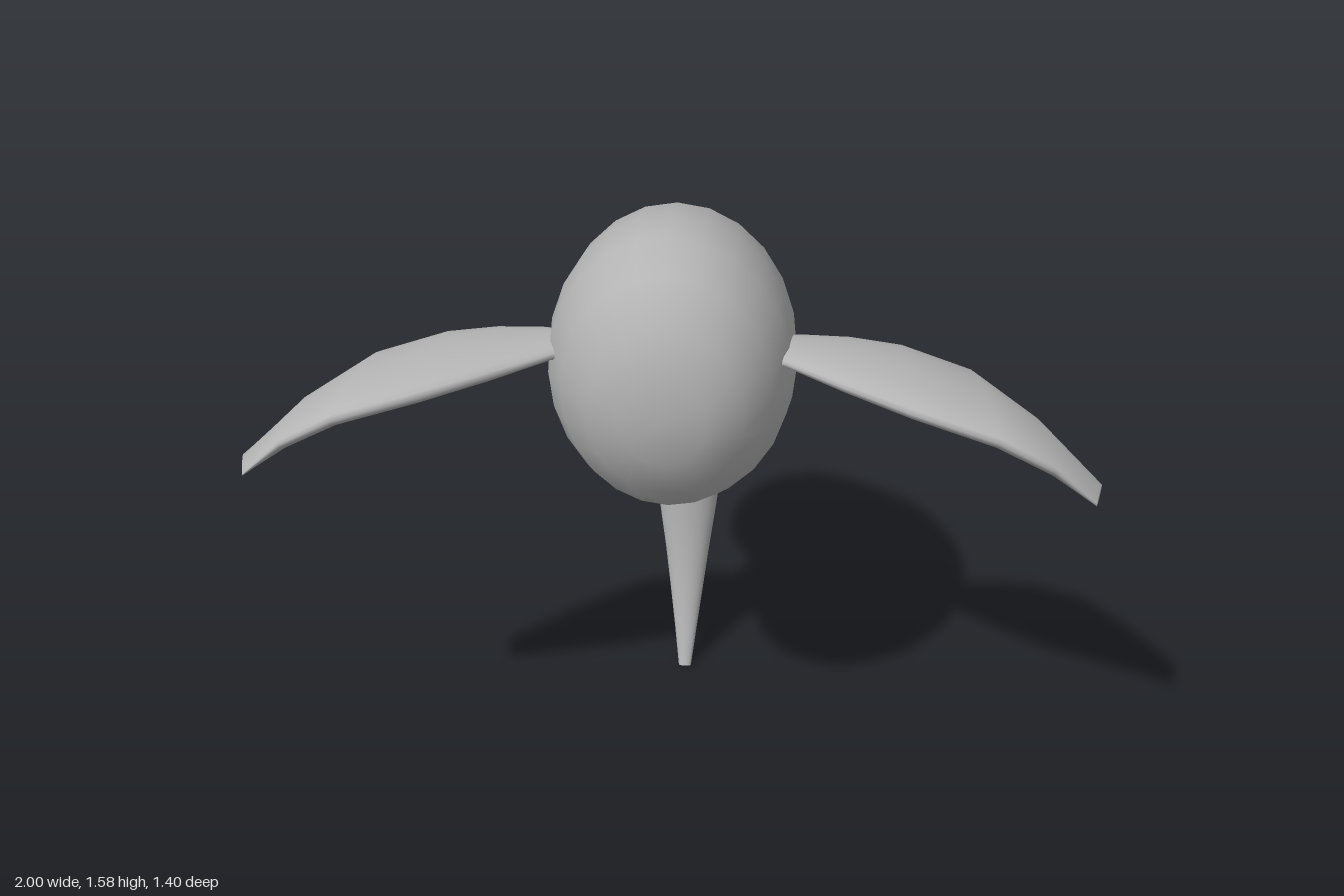
import * as THREE from 'three';

const SIDES = 24;

// Skins elliptical rings [a, b, w]: a and b are opposite ends of one axis, w is the other half axis.
// Rounded ends share their normals with the skin; flat ends get their own rim.
function loft(rings, startPole, endPole, flat) {
  const pos = [], index = [];
  const addRing = ([a, b, w]) => {
    const first = pos.length / 3;
    for (let j = 0; j < SIDES; j++) {
      const t = (j / SIDES) * Math.PI * 2, c = Math.cos(t), s = Math.sin(t);
      for (let k = 0; k < 3; k++) pos.push((a[k] + b[k]) / 2 + (c * (a[k] - b[k])) / 2 + s * w[k]);
    }
    return first;
  };
  const starts = rings.map(addRing);
  for (let i = 0; i < starts.length - 1; i++) {
    for (let j = 0; j < SIDES; j++) {
      const n = (j + 1) % SIDES, p = starts[i], q = starts[i + 1];
      index.push(p + j, p + n, q + j, p + n, q + n, q + j);
    }
  }
  const addCap = (i, pole, isStart) => {
    const rim = flat ? addRing(rings[i]) : starts[i];
    const centre = pos.length / 3;
    pos.push(...pole);
    for (let j = 0; j < SIDES; j++) {
      const n = (j + 1) % SIDES;
      if (isStart) index.push(centre, rim + n, rim + j);
      else index.push(centre, rim + j, rim + n);
    }
  };
  addCap(0, startPole, true);
  addCap(rings.length - 1, endPole, false);
  const g = new THREE.BufferGeometry();
  g.setAttribute('position', new THREE.Float32BufferAttribute(pos, 3));
  g.setIndex(index);
  g.computeVertexNormals();
  return g;
}

const middle = ([a, b]) => a.map((v, k) => (v + b[k]) / 2);

// Bent, tapering body: top z, top y, bottom z, bottom y, half width
function bodyGeometry() {
  const sections = [
    [0.655, 1.32, 0.645, 1.10, 0.10],
    [0.63, 1.43, 0.60, 1.00, 0.18],
    [0.56, 1.53, 0.52, 0.92, 0.245],
    [0.46, 1.58, 0.44, 0.88, 0.285],
    [0.33, 1.585, 0.36, 0.868, 0.298],
    [0.19, 1.56, 0.29, 0.857, 0.295],
    [0.05, 1.50, 0.20, 0.825, 0.285],
    [-0.09, 1.42, 0.09, 0.78, 0.265],
    [-0.27, 1.26, -0.05, 0.71, 0.24],
    [-0.43, 1.10, -0.18, 0.635, 0.218],
    [-0.55, 0.975, -0.29, 0.545, 0.202],
    [-0.62, 0.89, -0.39, 0.505, 0.185],
    [-0.67, 0.81, -0.48, 0.49, 0.16],
    [-0.70, 0.70, -0.57, 0.503, 0.115],
    [-0.703, 0.655, -0.63, 0.535, 0.07],
  ];
  const rings = sections.map(([zt, yt, zb, yb, w]) => [[0, yt, zt], [0, yb, zb], [w, 0, 0]]);
  return loft(rings, [0, 1.21, 0.658], [0, 0.59, -0.682], false);
}

// Curved lower fin: front z, front y, back z, back y, half width
function lowerFinGeometry() {
  const sections = [
    [-0.15, 0.635, -0.285, 0.635, 0.10],
    [-0.148, 0.50, -0.255, 0.47, 0.081],
    [-0.14, 0.37, -0.222, 0.34, 0.063],
    [-0.122, 0.25, -0.185, 0.225, 0.048],
    [-0.095, 0.12, -0.137, 0.11, 0.032],
    [-0.06, 0.012, -0.085, 0.002, 0.018],
  ];
  const rings = sections.map(([zf, yf, zb, yb, w]) => [[0, yf, zf], [0, yb, zb], [-w, 0, 0]]);
  return loft(rings, middle(rings[0]), middle(rings.at(-1)), true);
}

// Drooping flipper: leading x, z, trailing x, z, height, half thickness
function flipperGeometry(side) {
  const sections = [
    [0.20, 0.46, 0.22, 0.36, 1.29, 0.022],
    [0.27, 0.495, 0.31, 0.345, 1.29, 0.024],
    [0.40, 0.575, 0.42, 0.323, 1.275, 0.035],
    [0.55, 0.655, 0.54, 0.32, 1.256, 0.042],
    [0.74, 0.695, 0.70, 0.35, 1.212, 0.043],
    [0.87, 0.687, 0.85, 0.45, 1.142, 0.036],
    [0.975, 0.66, 1.0, 0.57, 1.045, 0.012],
  ];
  const rings = sections.map(([xl, zl, xt, zt, y, h]) =>
    [[side * xl, y, zl], [side * xt, y, zt], [0, -side * h, 0]]);
  return loft(rings, middle(rings[0]), middle(rings.at(-1)), true);
}

export function createModel() {
  const grey = new THREE.MeshStandardMaterial({ color: 0xb4b4b4 });
  grey.name = 'grey';
  const model = new THREE.Group();
  model.name = 'finnedBody';
  const add = (name, geometry) => {
    const mesh = new THREE.Mesh(geometry, grey);
    mesh.name = name;
    model.add(mesh);
  };
  add('body', bodyGeometry());
  add('lowerFin', lowerFinGeometry());
  add('leftFlipper', flipperGeometry(1));
  add('rightFlipper', flipperGeometry(-1));
  return model;
}
